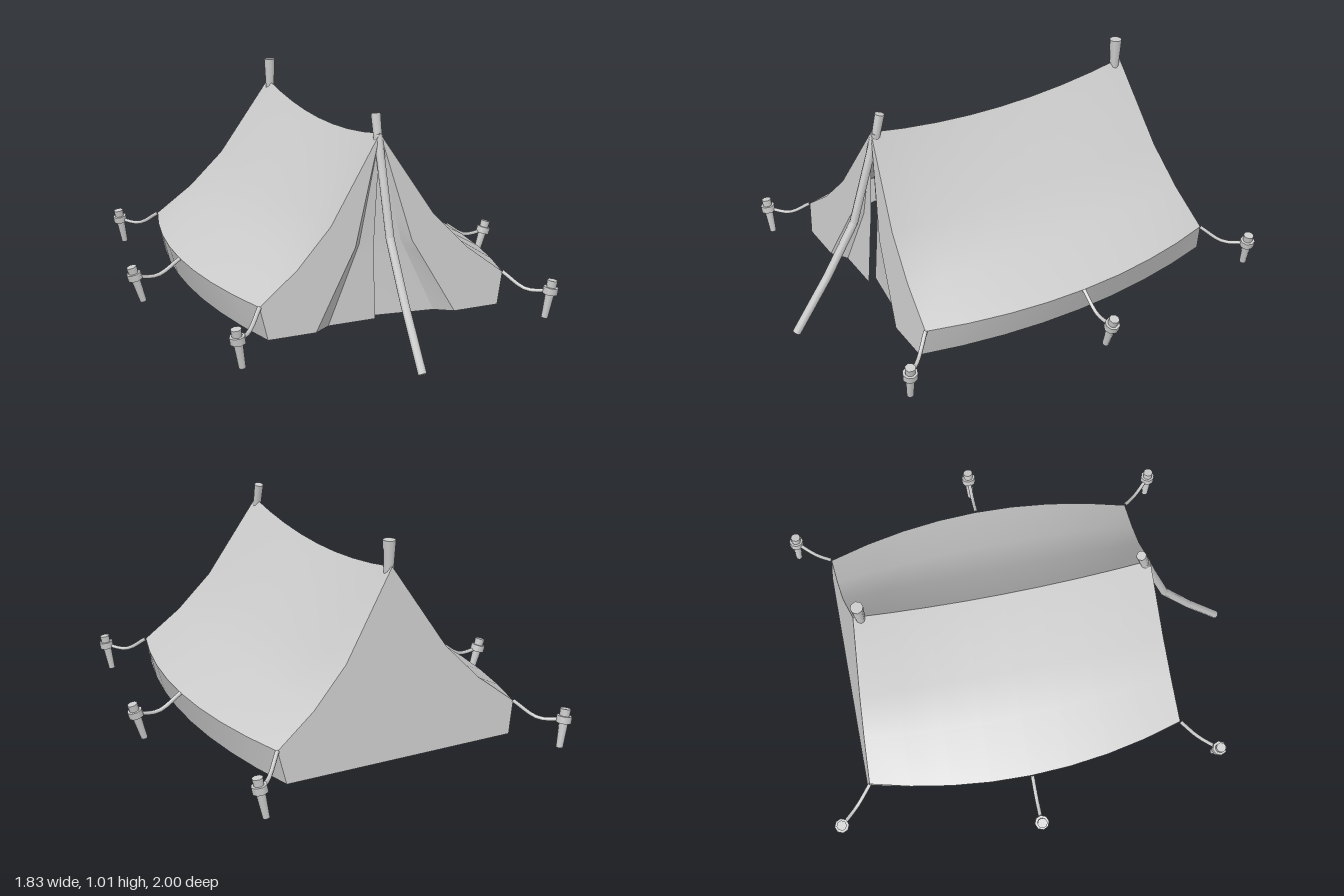
import * as THREE from 'three';

const cloth = new THREE.MeshStandardMaterial({ color: 0xcccccc, side: THREE.DoubleSide });
const wood = new THREE.MeshStandardMaterial({ color: 0xcccccc });
const V = (x, y, z) => new THREE.Vector3(x, y, z);

function add(parent, name, geometry, material) {
  const mesh = new THREE.Mesh(geometry, material);
  mesh.name = name;
  parent.add(mesh);
  return mesh;
}

// Smooth cloth sheet spanning rows of points
function sheet(rows) {
  const n = rows[0].length, index = [];
  for (let i = 0; i < rows.length - 1; i++) {
    for (let j = 0; j < n - 1; j++) {
      const a = i * n + j, b = a + n;
      index.push(a, b, a + 1, a + 1, b, b + 1);
    }
  }
  const g = new THREE.BufferGeometry().setFromPoints(rows.flat());
  g.setIndex(index);
  g.computeVertexNormals();
  return g;
}

// Tapered round stick between two points
function stick(parent, name, a, b, rA, rB, sides = 8) {
  const d = b.clone().sub(a);
  const mesh = add(parent, name, new THREE.CylinderGeometry(rB, rA, d.length(), sides), wood);
  mesh.position.copy(a).addScaledVector(d, 0.5);
  mesh.quaternion.setFromUnitVectors(V(0, 1, 0), d.normalize());
  return mesh;
}

// End walls lean outward towards the ground
const frontZ = y => 0.57 + (0.91 - y) * 0.108;
const backZ = y => -0.72 - (0.91 - y) * 0.142;

// Half outline of the tent at its ends and at its middle: [x, y]
const endOutline = [[0, 0.91], [0.235, 0.55], [0.39, 0.39], [0.56, 0.26], [0.53, 0.12]];
const midOutline = [[0, 0.845], [0.24, 0.54], [0.43, 0.39], [0.67, 0.26], [0.63, 0.12]];

// Lengthwise row k of one side, bulging and sagging towards the middle
function sideRow(k, s) {
  const [ex, ey] = endOutline[k], [mx, my] = midOutline[k], row = [];
  for (let i = 0; i <= 8; i++) {
    const t = i / 8, w = 1 - (2 * t - 1) ** 2;
    row.push(V(s * (ex + (mx - ex) * w), ey + (my - ey) * w,
      THREE.MathUtils.lerp(frontZ(ey), backZ(ey), t)));
  }
  return row;
}

// Front wall by height: [y, outer edge x, fold crest x, fold valley x, fold depth]
const frontRows = [
  [0.91, 0, 0, 0, 0],
  [0.55, 0.235, 0.102, 0.074, 0.032],
  [0.45, 0.332, 0.13, 0.095, 0.04],
  [0.39, 0.39, 0.165, 0.122, 0.042],
  [0.26, 0.56, 0.24, 0.181, 0.046],
  [0.12, 0.53, 0.32, 0.245, 0.05],
];

function frontHalf(s) {
  const half = new THREE.Group();
  half.name = s > 0 ? 'leftFront' : 'rightFront';
  const outer = [], fold = [], door = [];
  for (const [y, xo, xc, xv, depth] of frontRows) {
    const z = frontZ(y), k = Math.min(1, (0.91 - y) / 0.5);
    const crest = V(s * xc, y, z), valley = V(s * xv, y, z - depth);
    outer.push([V(s * xo, y, z), crest]);
    fold.push([crest, valley]);
    // One door flap tucks behind the other
    door.push([valley, s > 0 ? V(-0.045 * k, y, z - depth - 0.04 * k) : V(-0.03 * k, y, z - depth)]);
  }
  add(half, 'frontPanel', sheet(outer), cloth);
  add(half, 'frontFold', sheet(fold), cloth);
  add(half, 'doorFlap', sheet(door), cloth);
  return half;
}

// Leaning peg with a collar, tied to the eave by a sagging rope
function guyLine(eave, top, foot) {
  const g = new THREE.Group();
  g.name = 'guyLine';
  stick(g, 'peg', foot, top, 0.015, 0.023);
  const at = t => foot.clone().lerp(top, t);
  stick(g, 'pegCollar', at(0.64), at(0.82), 0.033, 0.033);
  const knot = at(0.72);
  const sag = eave.clone().lerp(knot, 0.5);
  sag.y = 0.196;
  const path = new THREE.CatmullRomCurve3([eave, sag, knot]);
  add(g, 'rope', new THREE.TubeGeometry(path, 8, 0.009, 6), wood);
  return g;
}

export function createModel() {
  const tent = new THREE.Group();
  tent.name = 'tent';

  for (const s of [1, -1]) {
    // Roof side and the skirt below its eave
    add(tent, 'roofSide', sheet([0, 1, 2, 3].map(k => sideRow(k, s))), cloth);
    add(tent, 'skirt', sheet([3, 4].map(k => sideRow(k, s))), cloth);
    tent.add(frontHalf(s));

    // Pegs and ropes at both corners and the middle
    tent.add(guyLine(V(s * 0.56, 0.26, 0.64), V(s * 0.715, 0.25, 0.797), V(s * 0.688, 0.082, 0.788)));
    tent.add(guyLine(V(s * 0.67, 0.26, -0.08), V(s * 0.892, 0.25, -0.08), V(s * 0.843, 0.085, -0.08)));
    tent.add(guyLine(V(s * 0.56, 0.26, -0.81), V(s * 0.72, 0.25, -0.967), V(s * 0.69, 0.082, -0.979)));
  }

  // Flat back wall
  add(tent, 'backWall', sheet(endOutline.map(([x, y]) => [V(-x, y, backZ(y)), V(x, y, backZ(y))])), cloth);

  // Bent front pole with its tip above the ridge
  const pole = [V(0, 0.012, 0.985), V(0, 0.25, 0.82), V(0, 0.49, 0.675), V(0, 0.8, 0.58), V(0, 0.9, 0.553)];
  for (let i = 0; i < pole.length - 1; i++) {
    stick(tent, 'frontPole', pole[i], pole[i + 1], 0.019, 0.019);
  }
  stick(tent, 'frontPoleTip', V(0, 0.86, 0.555), V(0, 0.985, 0.525), 0.019, 0.022);

  // Back pole tip
  stick(tent, 'backPoleTip', V(0, 0.86, -0.69), V(0, 1.015, -0.692), 0.02, 0.028);
  return tent;
}
